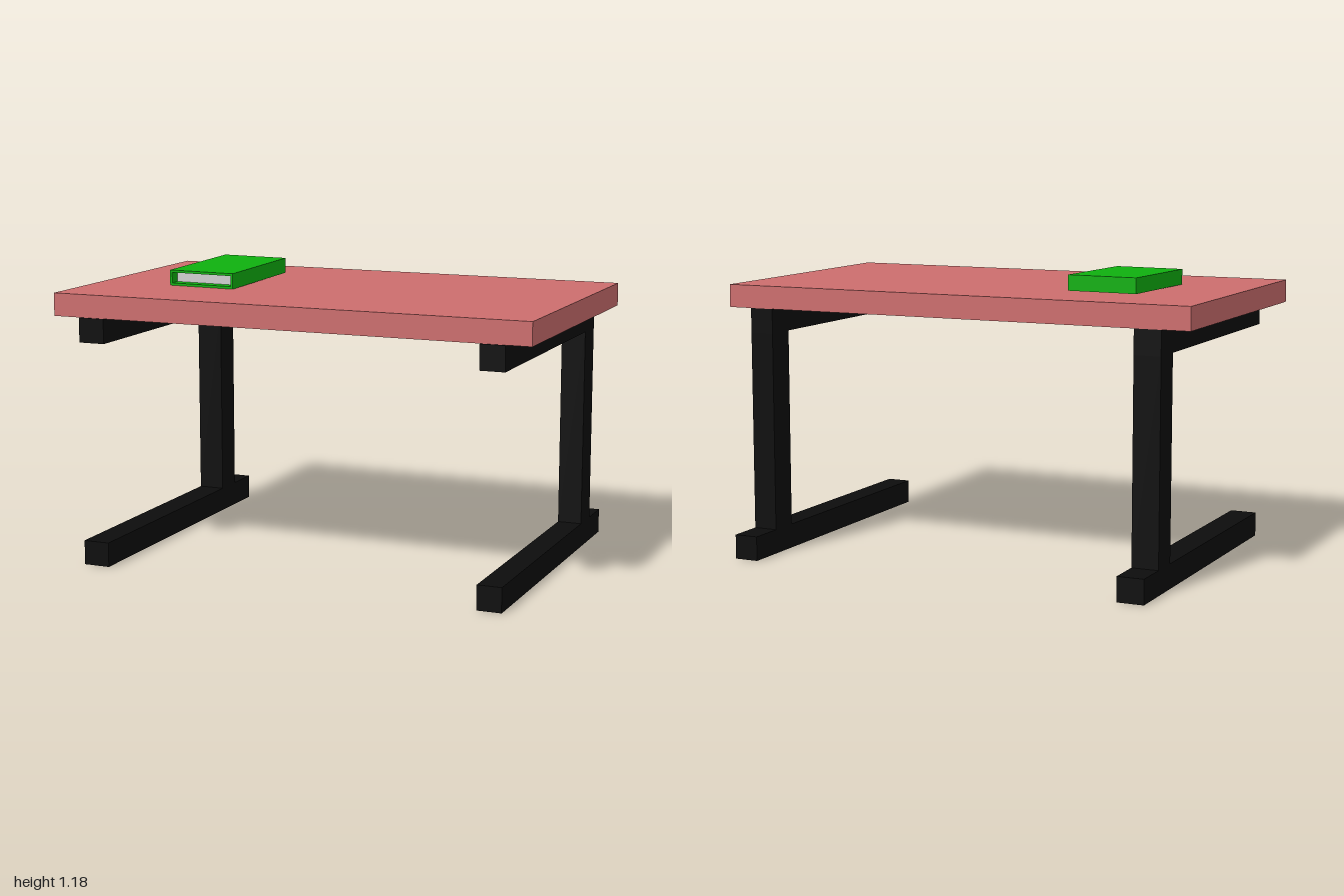
import * as THREE from 'three';

export function createModel() {
  const model = new THREE.Group();
  model.name = 'desk';
  const mat = (name, color) => {
    const m = new THREE.MeshStandardMaterial({ color });
    m.name = name;
    return m;
  };
  const wood = mat('rose tabletop', 0xcc6e6e);
  const black = mat('black frame', 0x0d0d0d);
  const green = mat('green cover', 0x0fb00f);
  const paper = mat('pale pages', 0xd0d0d0);

  const add = (parent, name, geometry, material) => {
    const mesh = new THREE.Mesh(geometry, material);
    mesh.name = name;
    parent.add(mesh);
    return mesh;
  };
  // Box given by its limits along each axis
  const block = (x0, x1, y0, y1, z0, z1) =>
    new THREE.BoxGeometry(x1 - x0, y1 - y0, z1 - z0)
      .translate((x0 + x1) / 2, (y0 + y1) / 2, (z0 + z1) / 2);

  add(model, 'tabletop', block(-1, 1, 1.015, 1.108, -0.51, 0.655), wood);

  // C-shaped legs: foot, post and arm under the top
  for (const [name, x0, x1] of [['rightLeg', -0.885, -0.775], ['leftLeg', 0.8, 0.9]]) {
    const leg = new THREE.Group();
    leg.name = name;
    add(leg, 'foot', block(x0, x1, 0, 0.1, -0.66, 0.66), black);
    add(leg, 'post', block(x0, x1, 0.1, 0.915, -0.51, -0.385), black);
    add(leg, 'arm', block(x0, x1, 0.915, 1.015, -0.51, 0.66), black);
    model.add(leg);
  }

  // Book: cover sleeve open at the front, with recessed pages
  const book = new THREE.Group();
  book.name = 'book';
  const W = 0.146, H = 0.063, D = 0.26, rim = 0.01;
  const rect = (P, x, y0, y1) => {
    const p = new P();
    p.moveTo(-x, y0).lineTo(x, y0).lineTo(x, y1).lineTo(-x, y1).closePath();
    return p;
  };
  // Skew the book slightly and tilt it toward the front
  const skew = (g) => {
    const p = g.attributes.position;
    for (let i = 0; i < p.count; i++) {
      const x = p.getX(i), y = p.getY(i), z = p.getZ(i);
      p.setXYZ(i, x + 0.004 * z, y - 0.014 * z, z + 0.05 * x);
    }
    g.computeVertexNormals();
    return g;
  };
  const sleeve = rect(THREE.Shape, W, 0, H);
  sleeve.holes.push(rect(THREE.Path, W - rim, rim, H - rim));
  const sleeveGeo = new THREE.ExtrudeGeometry(sleeve, { depth: 2 * D - rim, bevelEnabled: false });
  add(book, 'cover', skew(sleeveGeo.translate(0, 0, rim - D)), green);
  add(book, 'spine', skew(block(-W, W, 0, H, -D, rim - D)), green);
  add(book, 'pages', skew(block(rim - W, W - rim, rim, H - rim, rim - D, D - 0.045)), paper);
  book.position.set(-0.533, 1.112, 0.018);
  model.add(book);

  return model;
}
